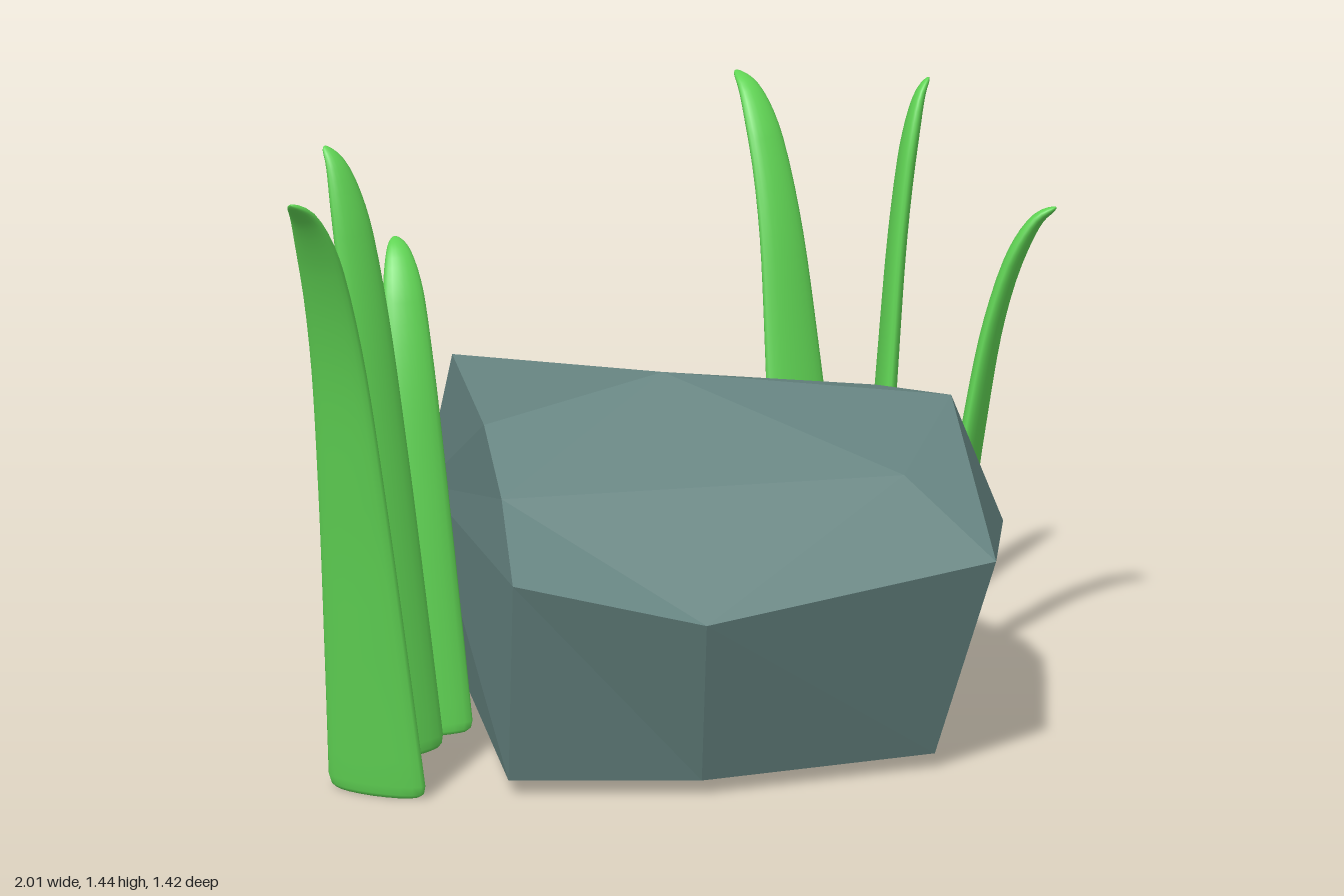
import * as THREE from 'three';

const stone = new THREE.MeshStandardMaterial({ color: 0x64827f, flatShading: true });
const leaf = new THREE.MeshStandardMaterial({ color: 0x60d454 });

function meshFrom(points, index, material, name, flat) {
  let geo = new THREE.BufferGeometry();
  geo.setAttribute('position', new THREE.Float32BufferAttribute(points.flat(), 3));
  geo.setIndex(index);
  if (flat) geo = geo.toNonIndexed();
  geo.computeVertexNormals();
  const mesh = new THREE.Mesh(geo, material);
  mesh.name = name;
  return mesh;
}

// Faceted boulder: foot ring, widest ring and a crown with one peak
function createRock() {
  const waist = [[-0.545, 0.525, 0.315], [-0.2, 0.44, 0.54], [0.44, 0.525, 0.71], [0.805, 0.46, 0.27],
    [0.73, 0.4, -0.17], [0.2, 0.355, -0.45], [-0.21, 0.47, -0.705]];
  const foot = [[-0.49, 0.19], [-0.13, 0.415], [0.41, 0.545], [0.54, 0.22], [0.545, -0.155], [0.165, -0.385], [-0.235, -0.47]]
    .map(([x, z]) => [x, 0.04, z]);
  const crown = [[-0.46, 0.66, 0.12], [0.38, 0.67, 0.45], [0.64, 0.785, 0.275], [0.69, 0.73, -0.09],
    [0.16, 0.775, -0.33], [-0.19, 0.815, -0.59], [-0.39, 0.775, -0.08], [0.03, 0.86, 0]];

  // Faces as corner loops, each fanned from its first corner
  const faces = [
    [1, 2, 15, 14, 0], [2, 3, 16, 15], [3, 4, 17, 16], [4, 5, 18, 17], [5, 6, 19, 18], [6, 0, 14, 20, 19],
    [21, 20, 14, 15, 16], [21, 16, 17, 18, 19, 20], [12, 11, 10, 9, 8, 7, 13]
  ];
  for (let i = 0; i < 7; i++) {
    const j = (i + 1) % 7;
    faces.push([7 + j, j, i, 7 + i]);
  }
  const index = [];
  for (const f of faces) for (let k = 1; k < f.length - 1; k++) index.push(f[0], f[k], f[k + 1]);
  return meshFrom([...waist, ...foot, ...crown], index, stone, 'rock', true);
}

// Flattened, tapering blade that rises from its base and curls over at the tip;
// side is the direction [x, z] of its width
function createBlade({ base, tip, width, side }, name) {
  const a = new THREE.Vector3(...base), b = new THREE.Vector3(...tip);
  const bend = [[0, 0], [0.25, 0.13], [0.5, 0.27], [0.75, 0.45], [0.9, 0.65], [0.975, 0.84], [1, 1]];
  const path = new THREE.CatmullRomCurve3(bend.map(([rise, out]) => new THREE.Vector3(
    a.x + (b.x - a.x) * out, a.y + (b.y - a.y) * rise, a.z + (b.z - a.z) * out)));
  const across = new THREE.Vector3(side[0], 0, side[1]).normalize();

  const sides = 20, points = [], index = [];
  // Row position along the path and its rounding at the two ends
  const rows = [[0, 0.001], [0, 0.85], [0.006, 0.95], [0.02, 1]];
  for (let i = 1; i <= 20; i++) rows.push([0.02 + 0.83 * i / 20, 1]);
  for (let i = 1; i <= 10; i++) {
    const ang = i / 10 * Math.PI / 2;
    rows.push([0.85 + 0.15 * Math.sin(ang), Math.max(Math.cos(ang), 0.001)]);
  }

  rows.forEach(([t, round], r) => {
    const c = path.getPointAt(t), thick = new THREE.Vector3().crossVectors(path.getTangentAt(t), across).normalize();
    const w = THREE.MathUtils.lerp(width / 2, 0.038, t) * round;
    const h = THREE.MathUtils.lerp(0.028, 0.02, t) * round;
    for (let s = 0; s < sides; s++) {
      const ang = s / sides * Math.PI * 2;
      const p = c.clone().addScaledVector(across, Math.cos(ang) * w).addScaledVector(thick, Math.sin(ang) * h);
      points.push(p.toArray());
      if (r === 0) continue;
      const n = (s + 1) % sides, lo = (r - 1) * sides, hi = r * sides;
      index.push(lo + s, lo + n, hi + s, lo + n, hi + n, hi + s);
    }
  });
  return meshFrom(points, index, leaf, name, false);
}

export function createModel() {
  const model = new THREE.Group();
  model.name = 'rockWithGrass';
  model.add(createRock());

  // Two tufts of three blades
  const tufts = {
    rightGrass: [
      { base: [-0.72, 0.005, 0.01], tip: [-1.0, 1.375, 0.23], width: 0.24, side: [0.14, 0.19] },
      { base: [-0.595, 0.025, -0.115], tip: [-0.685, 1.405, -0.245], width: 0.24, side: [1, -0.13] },
      { base: [-0.475, 0.02, -0.225], tip: [-0.4, 1.14, -0.47], width: 0.23, side: [1, 0.28] }
    ],
    leftGrass: [
      { base: [0.695, 0.055, -0.35], tip: [0.695, 1.415, -0.71], width: 0.24, side: [1, 0] },
      { base: [0.755, 0.06, -0.185], tip: [0.9, 1.445, -0.18], width: 0.21, side: [0.09, -0.18] },
      { base: [0.845, 0.06, -0.015], tip: [0.998, 1.175, 0.195], width: 0.22, side: [0.16, -0.12] }
    ]
  };
  for (const [name, blades] of Object.entries(tufts)) {
    const tuft = new THREE.Group();
    tuft.name = name;
    blades.forEach((spec, i) => tuft.add(createBlade(spec, 'grassBlade' + (i + 1))));
    model.add(tuft);
  }
  return model;
}
